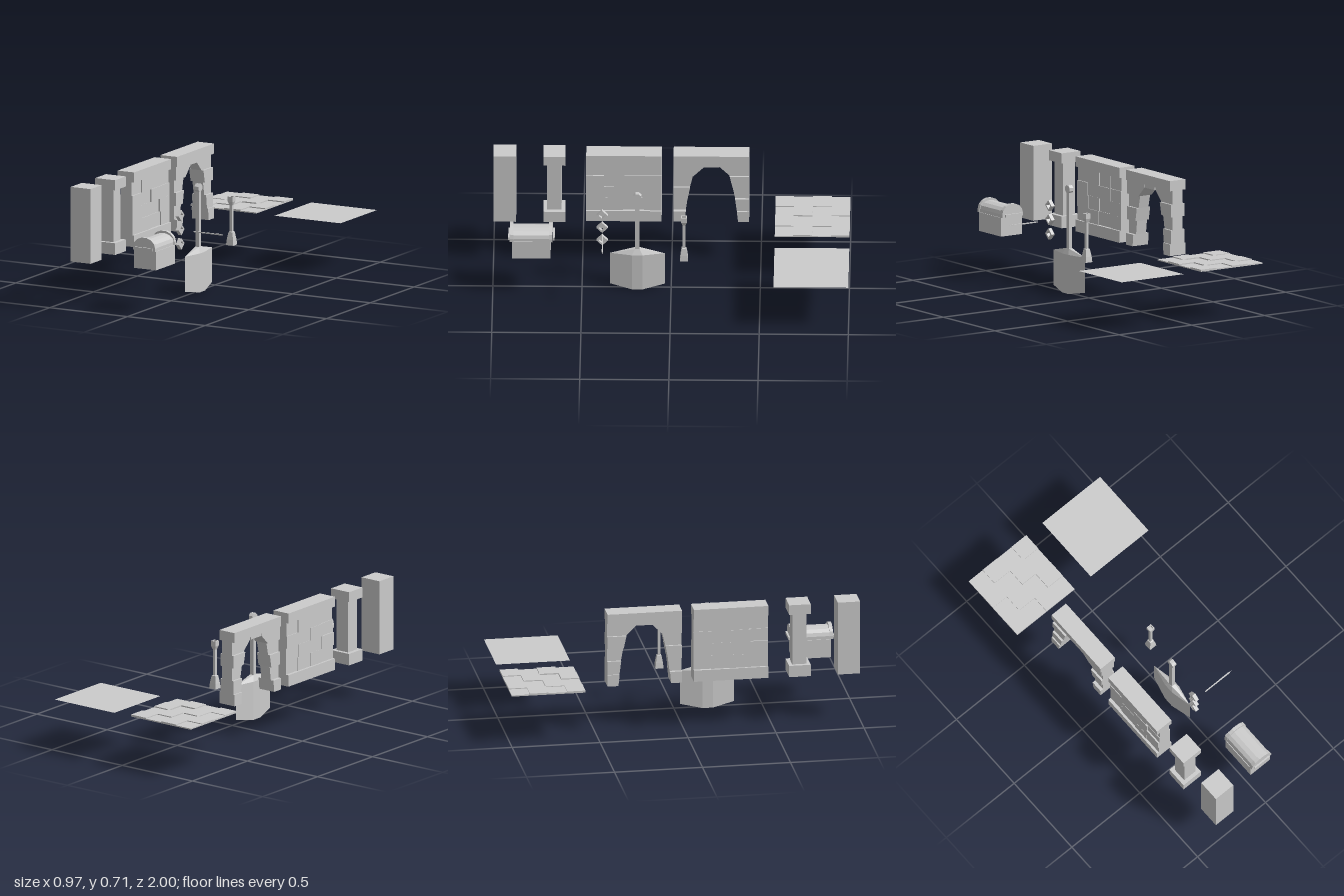
import * as THREE from 'three';
import { ConvexGeometry } from 'three/addons/geometries/ConvexGeometry.js';

const stone = new THREE.MeshStandardMaterial({ color: 0xcccccc, flatShading: true, side: THREE.DoubleSide });

// Small seeded generator for uneven stones
let seed = 7;
const rnd = () => ((seed = (seed * 16807) % 2147483647) / 2147483647);

function add(parent, name, geometry, x = 0, y = 0, z = 0) {
  const m = new THREE.Mesh(geometry, stone);
  m.name = name;
  m.position.set(x, y, z);
  parent.add(m);
  return m;
}

// Box given by its limits on each axis
function box(parent, name, x0, x1, y0, y1, z0, z1) {
  return add(parent, name, new THREE.BoxGeometry(x1 - x0, y1 - y0, z1 - z0),
    (x0 + x1) / 2, (y0 + y1) / 2, (z0 + z1) / 2);
}

function group(parent, name) {
  const g = new THREE.Group();
  g.name = name;
  parent.add(g);
  return g;
}

// Outline in (z, y), extruded between two x values
function slab(parent, name, points, x0, x1, hole) {
  const shape = new THREE.Shape(points.map(p => new THREE.Vector2(...p)));
  if (hole) shape.holes.push(new THREE.Path(hole.map(p => new THREE.Vector2(...p))));
  const g = new THREE.ExtrudeGeometry(shape, { depth: x1 - x0, bevelEnabled: false });
  g.rotateY(-Math.PI / 2);
  return add(parent, name, g, x1, 0, 0);
}

const BOTTOM = 0.28, TOP = 0.708, WALL_X = -0.303;
const ROWS = [0.347, 0.425, 0.5, 0.572, 0.65];

function buildWall(root) {
  const g = group(root, 'brickWall');
  const z0 = 0.057, z1 = 0.48;
  box(g, 'wallPlinth', WALL_X - 0.053, WALL_X + 0.053, BOTTOM, ROWS[0], z0, z1);
  box(g, 'wallCap', WALL_X - 0.053, WALL_X + 0.053, ROWS[4], TOP, z0, z1);
  for (let r = 0; r < 4; r++) {
    const cuts = [z0, 0, 0, 0, z1];
    for (let i = 1; i < 4; i++) cuts[i] = z0 + i * 0.106 + (rnd() - 0.5) * 0.014;
    for (let i = 0; i < 4; i++)
      box(g, 'wallBrick', WALL_X - 0.032 - rnd() * 0.014, WALL_X + 0.032 + rnd() * 0.014,
        ROWS[r], ROWS[r + 1], cuts[i], cuts[i + 1]);
  }
}

function buildArch(root) {
  const g = group(root, 'archWall');
  const mid = -0.222, half = 0.212;
  box(g, 'archCap', WALL_X - 0.053, WALL_X + 0.053, ROWS[4], TOP, mid - half, mid + half);
  box(g, 'keystone', WALL_X - 0.042, WALL_X + 0.042, 0.63, ROWS[4], mid - 0.045, mid + 0.045);
  // Opening half-width at each course
  const ys = [BOTTOM, ...ROWS], open = [0.15, 0.143, 0.133, 0.119, 0.103, 0.045];
  for (const s of [-1, 1]) {
    for (let r = 0; r < 5; r++) {
      const pts = [[half, ys[r]], [open[r], ys[r]]];
      if (r === 4) pts.push([0.045, 0.63]);
      pts.push([open[r + 1], ys[r + 1]], [half, ys[r + 1]]);
      const d = r === 0 ? 0.053 : 0.034 + ((r + (s > 0 ? 1 : 0)) % 2) * 0.012;
      slab(g, r ? 'archBrick' : 'archPlinth', pts.map(([z, y]) => [mid + s * z, y]), WALL_X - d, WALL_X + d);
    }
  }
}

function buildFloors(root) {
  const g = group(root, 'tiledFloor');
  const rows = [-1, -0.897, -0.79, -0.683, -0.58];
  for (let r = 0; r < 4; r++) {
    const cuts = [-0.485, 0, 0, 0, -0.062];
    for (let i = 1; i < 4; i++) cuts[i] = -0.485 + i * 0.106 + (r % 2 ? 0.004 : -0.004);
    for (let i = 0; i < 4; i++)
      box(g, 'floorTile', cuts[i], cuts[i + 1], 0.299, (r + i) % 2 ? 0.311 : 0.304 + rnd() * 0.004, rows[r], rows[r + 1]);
  }
  const plane = new THREE.PlaneGeometry(0.425, 0.42);
  plane.rotateX(-Math.PI / 2);
  add(root, 'plainFloor', plane, 0.269, 0.299, -0.79);
}

function buildChest(root) {
  const g = group(root, 'chest');
  const cx = 0.053, z0 = 0.675, z1 = 0.892;
  // Thin walls, open underneath
  for (const s of [-1, 1]) {
    const x = cx + s * 0.067, z = s > 0 ? z1 - 0.004 : z0 + 0.004;
    box(g, 'chestSide', x - 0.004, x + 0.004, 0.26, 0.367, z0, z1);
    box(g, 'chestEnd', cx - 0.067, cx + 0.067, 0.26, 0.367, z - 0.004, z + 0.004);
  }
  const arch = (w, h, depth) => {
    const shape = new THREE.Shape();
    shape.moveTo(-w, -0.018);
    for (let i = 0; i <= 7; i++) {
      const a = Math.PI * (1 - i / 7);
      shape.lineTo(Math.cos(a) * w, Math.sin(a) * h);
    }
    shape.lineTo(w, -0.018);
    return new THREE.ExtrudeGeometry(shape, { depth, bevelEnabled: false });
  };
  add(g, 'chestLid', arch(0.067, 0.045, z1 - z0), cx, 0.385, z0);
  for (const z of [0.664, 0.884]) add(g, 'lidBand', arch(0.071, 0.058, 0.02), cx, 0.385, z);
  for (const z of [0.657, 0.908]) box(g, 'chestHandle', cx - 0.055, cx + 0.055, 0.37, 0.386, z - 0.005, z + 0.005);
}

function buildPendulum(root) {
  const g = group(root, 'pendulumBlade');
  const pts = [];
  for (const s of [-1, 1]) {
    for (const y of [0.025, 0.225]) pts.push(new THREE.Vector3(0, y, 0.19 + s * 0.154));
    for (const x of [-1, 1]) {
      for (const y of [0.002, 0.225]) pts.push(new THREE.Vector3(x * 0.027, y, 0.19 + s * 0.03));
      pts.push(new THREE.Vector3(x * 0.012, 0.257, 0.19 + s * 0.014));
    }
  }
  add(g, 'blade', new ConvexGeometry(pts));
  box(g, 'bladeRod', -0.011, 0.011, 0.25, 0.585, 0.178, 0.202);
  const knob = new THREE.CylinderGeometry(0.024, 0.024, 0.026, 8);
  knob.rotateY(Math.PI / 8);
  knob.rotateZ(Math.PI / 2);
  add(g, 'rodPivot', knob, 0, 0.594, 0.19);
}

function buildSmallParts(root) {
  // Diamond-shaped dart holders
  const diamond = r => [[r, 0], [0, r], [-r, 0], [0, -r]];
  for (const y of [0.307, 0.389, 0.469])
    slab(root, 'dartSocket', diamond(0.032).map(([a, b]) => [0.387 + a, y + b]), -0.018, 0.004,
      diamond(0.019).map(([a, b]) => [0.387 + a, y + b]));
  for (const y of [0.307, 0.389, 0.469]) box(root, 'socketBack', -0.018, -0.014, y - 0.011, y + 0.011, 0.376, 0.398);

  // Pointed dart lying along x
  const dart = new THREE.LatheGeometry(
    [[0, 0], [0.004, 0], [0.005, 0.17], [0, 0.198]].map(p => new THREE.Vector2(...p)), 4);
  dart.rotateY(Math.PI / 4);
  dart.rotateZ(-Math.PI / 2);
  add(root, 'dart', dart, 0.08, 0.385, 0.383);

  // Square torch with flared foot and hollow cup
  const profile = [[0, 0.226], [0.023, 0.226], [0.02, 0.258], [0.013, 0.3], [0.008, 0.303], [0.008, 0.452],
    [0.016, 0.474], [0.016, 0.503], [0.011, 0.503], [0.011, 0.485], [0, 0.485]];
  const torch = new THREE.LatheGeometry(profile.map(([r, y]) => new THREE.Vector2(r * Math.SQRT2, y)), 4);
  torch.rotateY(Math.PI / 4);
  add(root, 'torch', torch, 0.066, 0, -0.073);
}

export function createModel() {
  seed = 7;
  const root = new THREE.Group();
  root.name = 'dungeonKit';

  // Plain pillar and capped column
  box(root, 'plainPillar', -0.365, -0.237, BOTTOM, TOP, 0.873, 1);
  const column = group(root, 'column');
  box(column, 'columnBase', -0.365, -0.237, BOTTOM, 0.347, 0.597, 0.72);
  box(column, 'columnShaft', -0.342, -0.26, 0.347, 0.65, 0.618, 0.699);
  box(column, 'columnCap', -0.365, -0.237, 0.65, TOP, 0.597, 0.72);

  buildWall(root);
  buildArch(root);
  buildFloors(root);
  buildChest(root);
  buildPendulum(root);
  buildSmallParts(root);
  return root;
}
